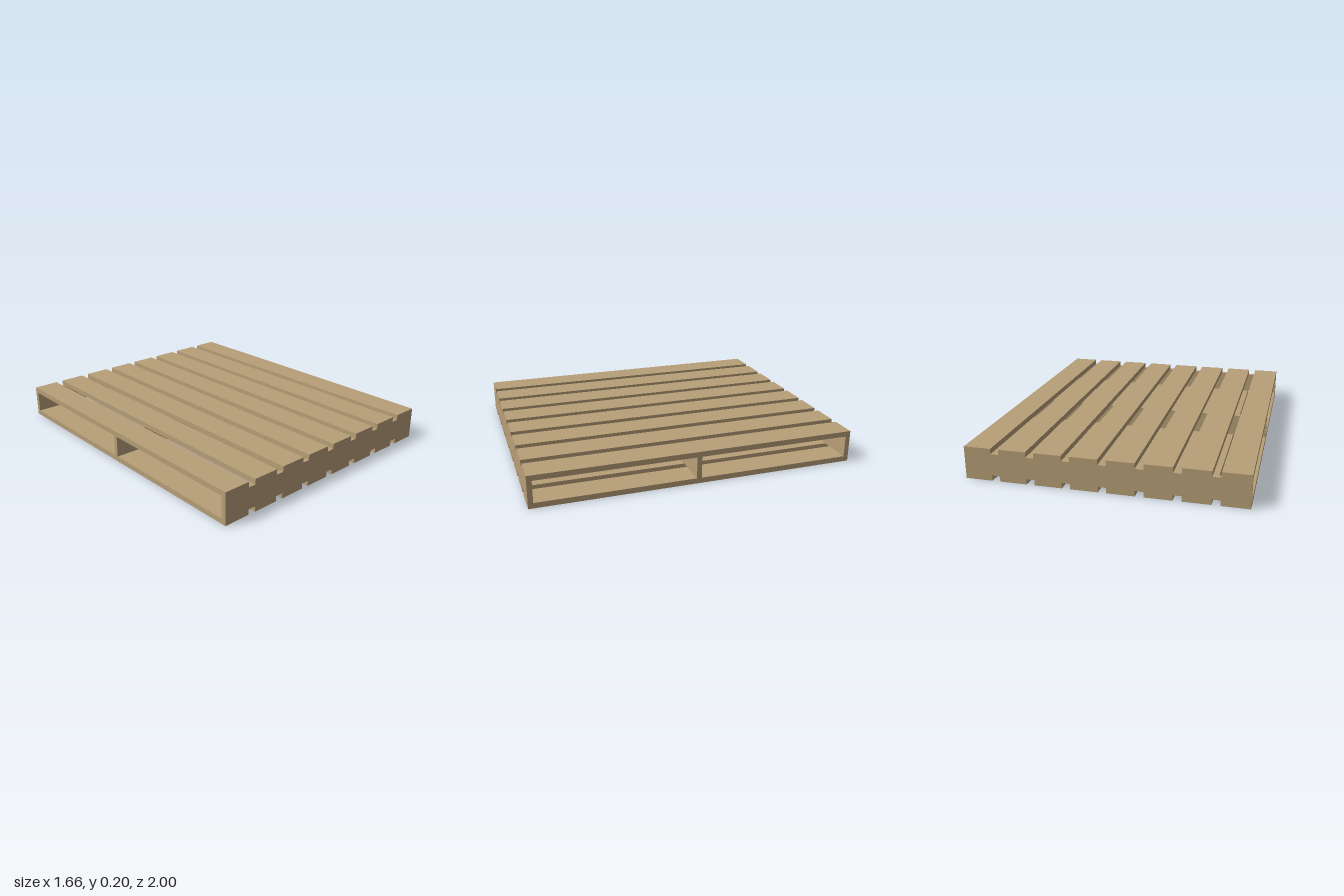
import * as THREE from 'three';

export function createModel() {
  const group = new THREE.Group();
  const wood = new THREE.MeshStandardMaterial({ color: 0xb89f78 });
  wood.name = 'palletWood';

  const height = 0.2, board = 0.033, halfWidth = 0.83;
  const slatWidth = 0.165, slats = 8, beamDepth = 0.03;

  const addBox = (name, w, h, d, x, y, z) => {
    const mesh = new THREE.Mesh(new THREE.BoxGeometry(w, h, d), wood);
    mesh.name = name;
    mesh.position.set(x, y, z);
    group.add(mesh);
  };

  // Evenly spaced deck boards, running front to back above and below
  const first = -halfWidth + slatWidth / 2;
  const pitch = (2 * halfWidth - slatWidth) / (slats - 1);
  for (let i = 0; i < slats; i++) {
    const x = first + i * pitch;
    addBox(`topSlat${i + 1}`, slatWidth, board, 2, x, height - board / 2, 0);
    addBox(`bottomSlat${i + 1}`, slatWidth, board, 2, x, board / 2, 0);
  }

  // Three upright beams across the width
  const edge = 1 - beamDepth / 2;
  for (const [name, z] of [['frontBeam', edge], ['middleBeam', 0], ['backBeam', -edge]]) {
    addBox(name, 2 * halfWidth, height - 2 * board, beamDepth, 0, height / 2, z);
  }

  return group;
}
